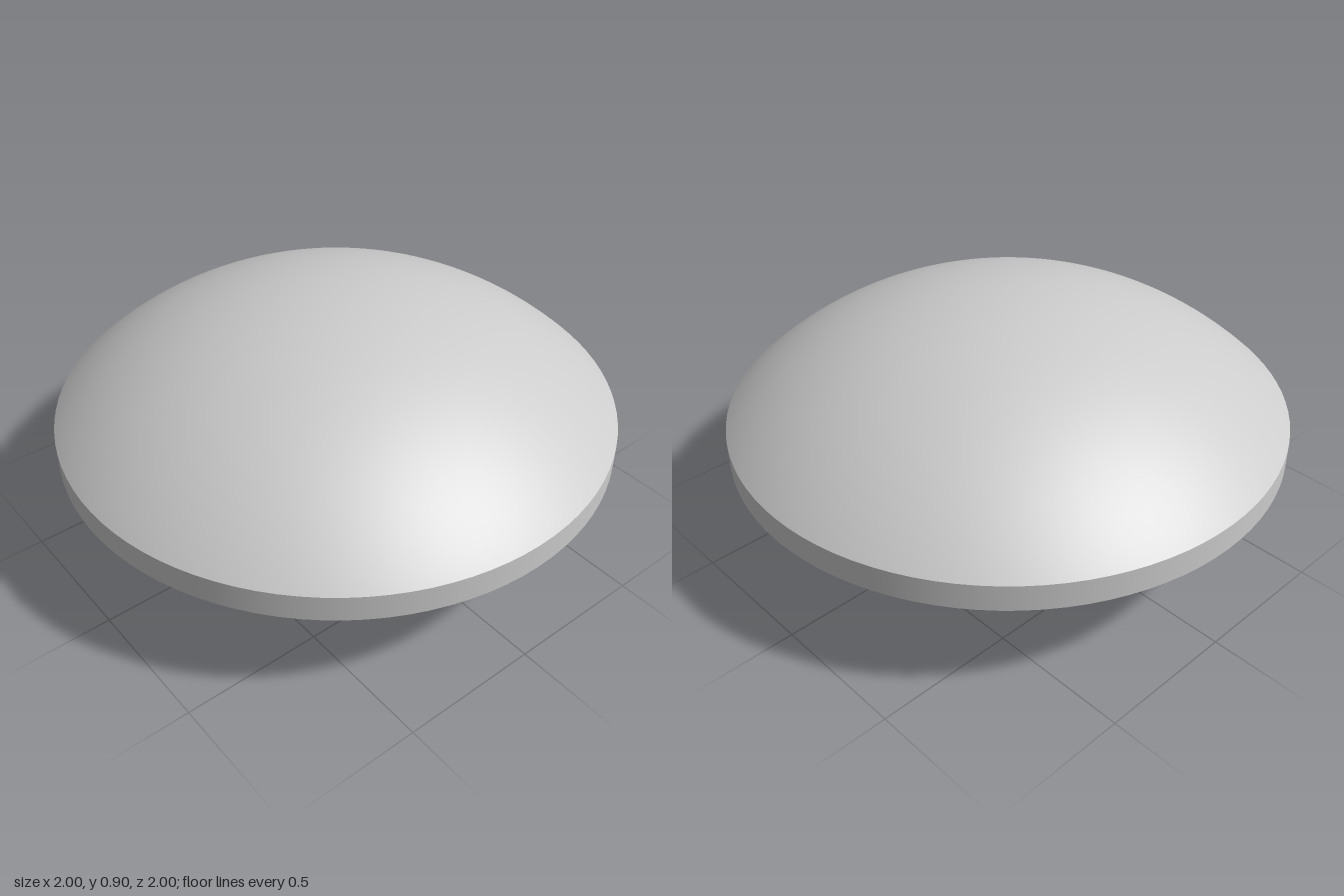
import * as THREE from 'three';

const RADIUS = 1;
const CAP_HEIGHT = 0.403;
const RIM_HEIGHT = 0.095;
const SEGMENTS = 96;

// Shallow spherical cap standing on y = 0, apex at CAP_HEIGHT
function capGeometry() {
  const sphereRadius = (RADIUS ** 2 + CAP_HEIGHT ** 2) / (2 * CAP_HEIGHT);
  const angle = Math.asin(RADIUS / sphereRadius);
  const geometry = new THREE.SphereGeometry(sphereRadius, SEGMENTS, 32, 0, Math.PI * 2, 0, angle);
  return geometry.translate(0, CAP_HEIGHT - sphereRadius, 0);
}

export function createModel() {
  const model = new THREE.Group();
  model.name = 'lens';
  const material = new THREE.MeshStandardMaterial({ color: 0xcccccc });

  const add = (name, geometry, y) => {
    const mesh = new THREE.Mesh(geometry, material);
    mesh.name = name;
    mesh.position.y = y;
    model.add(mesh);
  };

  // Convex upper and lower faces
  add('upperFace', capGeometry(), CAP_HEIGHT + RIM_HEIGHT);
  add('lowerFace', capGeometry().rotateX(Math.PI), CAP_HEIGHT);

  // Straight edge band between the faces
  const rim = new THREE.CylinderGeometry(RADIUS, RADIUS, RIM_HEIGHT, SEGMENTS, 1, true);
  // Start the band at the same seam as the caps so their rings coincide
  rim.rotateY(-Math.PI / 2);
  add('rim', rim, CAP_HEIGHT + RIM_HEIGHT / 2);

  return model;
}
